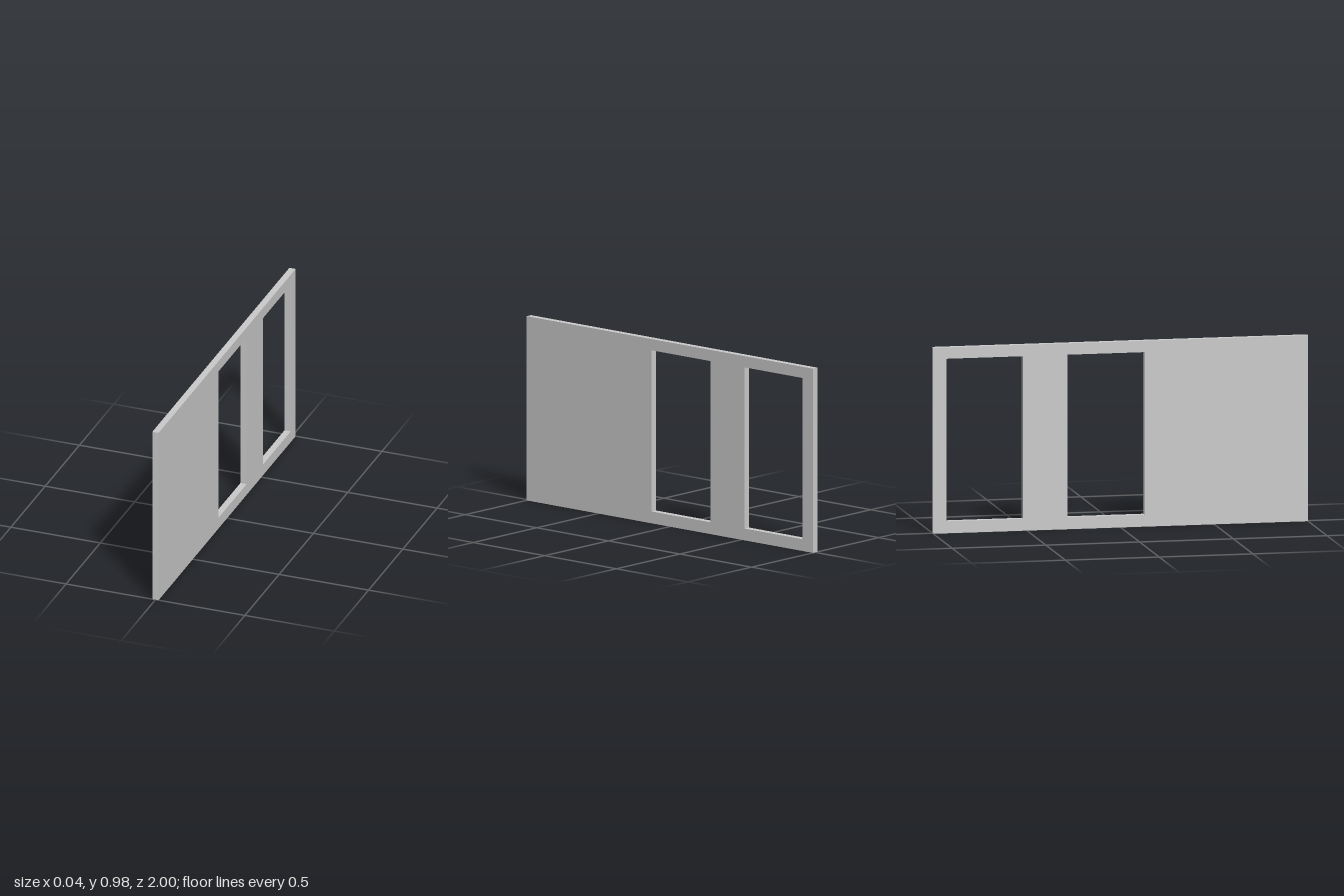
import * as THREE from 'three';

const LENGTH = 2, HEIGHT = 0.983, THICKNESS = 0.035;

// Traces a rectangle onto a shape or path
function rect(path, x0, x1, y0, y1) {
  path.moveTo(x0, y0);
  path.lineTo(x1, y0);
  path.lineTo(x1, y1);
  path.lineTo(x0, y1);
  path.closePath();
  return path;
}

export function createModel() {
  const group = new THREE.Group();
  group.name = 'wallPanel';

  // Panel outline, drawn with the back end of the wall towards +x
  const outline = rect(new THREE.Shape(), -LENGTH / 2, LENGTH / 2, 0, HEIGHT);

  // Two tall window openings
  for (const [start, end] of [[-0.127, 0.285], [0.521, 0.928]]) {
    outline.holes.push(rect(new THREE.Path(), start, end, 0.063, 0.923));
  }

  // Extrude, centre the thickness and turn the length along z
  const geometry = new THREE.ExtrudeGeometry(outline, { depth: THICKNESS, bevelEnabled: false });
  geometry.translate(0, 0, -THICKNESS / 2);
  geometry.rotateY(Math.PI / 2);

  const wall = new THREE.Mesh(geometry, new THREE.MeshStandardMaterial({ color: 0xcccccc }));
  wall.name = 'wallWithWindowOpenings';
  group.add(wall);
  return group;
}
